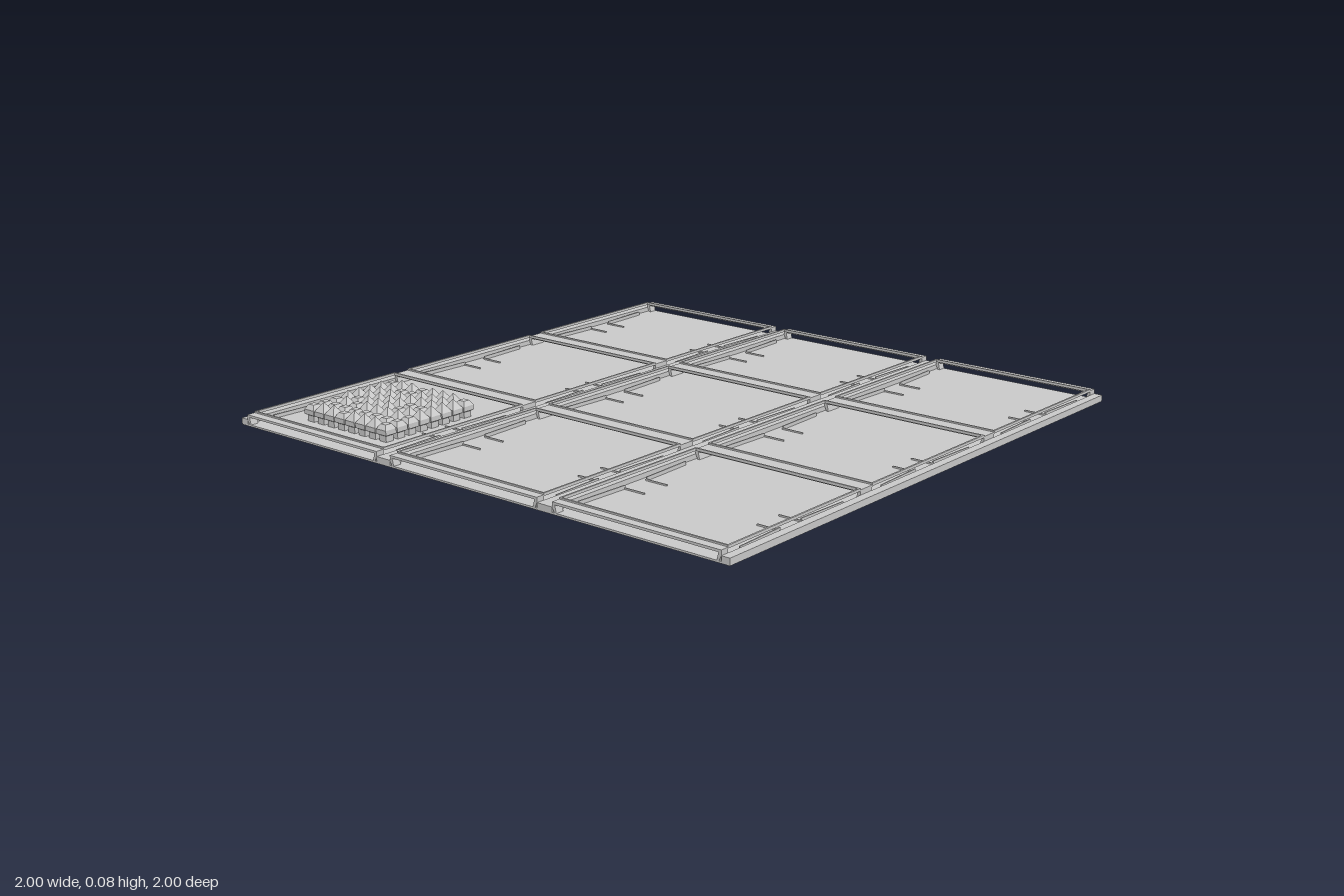
import * as THREE from 'three';

const grey = new THREE.MeshStandardMaterial({ color: 0xcccccc, flatShading: true });
const CELLS = [-0.667, 0, 0.667];                       // cell centres on both axes
const HALF = 0.304;                                     // half the size of a cell
const STRIPS = [[-1, -0.971], [-0.363, -0.304], [0.304, 0.363], [0.971, 1]];

function add(parent, name, geometry, x = 0, y = 0, z = 0) {
  const mesh = new THREE.Mesh(geometry, grey);
  mesh.name = name;
  mesh.position.set(x, y, z);
  parent.add(mesh);
  return mesh;
}

// box given by its lower and upper limits
function block(parent, name, x0, x1, y0, y1, z0, z1) {
  return add(parent, name, new THREE.BoxGeometry(x1 - x0, y1 - y0, z1 - z0),
    (x0 + x1) / 2, (y0 + y1) / 2, (z0 + z1) / 2);
}

// low bridge across one cell: a thin deck on two sloping feet
function bridgeGeometry(depth) {
  const h = HALF;
  const shape = new THREE.Shape([
    [-h, 0.022], [-h + 0.008, 0.005], [-h + 0.016, 0.005], [-h + 0.01, 0.03],
    [h - 0.01, 0.03], [h - 0.016, 0.005], [h - 0.008, 0.005], [h, 0.022],
    [h, 0.038], [-h, 0.038],
  ].map(([x, y]) => new THREE.Vector2(x, y)));
  return new THREE.ExtrudeGeometry(shape, { depth, bevelEnabled: false });
}

// thin square frame that outlines a cell
function rimGeometry() {
  const square = (r, target) => target.moveTo(-r, -r).lineTo(r, -r).lineTo(r, r).lineTo(-r, r).closePath();
  const shape = square(HALF, new THREE.Shape());
  shape.holes.push(square(HALF - 0.006, new THREE.Path()));
  return new THREE.ExtrudeGeometry(shape, { depth: 0.009, bevelEnabled: false }).rotateX(-Math.PI / 2);
}

// four-sided stud: stem, flared body and a pointed or blunt cap
function studGeometry(peak, topHalf) {
  const profile = [[0, 0.005], [0.015, 0.005], [0.015, 0.026], [0.022, 0.03],
    [0.022, 0.046], [topHalf, peak], [0, peak]];
  const points = profile.map(([r, y]) => new THREE.Vector2(r * Math.SQRT2, y));
  return new THREE.LatheGeometry(points, 4, Math.PI / 4);
}

export function createModel() {
  const model = new THREE.Group();
  model.name = 'gridBoard';

  block(model, 'basePlate', -1, 1, 0, 0.006, -1, 1);

  // low bars running front to back
  for (const [x0, x1] of STRIPS) block(model, 'lowBar', x0, x1, 0.004, 0.022, -1, 1);

  // raised cross rails between the low bars
  for (const [z0, z1] of STRIPS) {
    const geometry = bridgeGeometry(z1 - z0);
    for (const x of CELLS) add(model, 'crossRail', geometry, x, 0, z0);
  }

  // rim and side clips of every cell
  const rim = rimGeometry();
  for (const x of CELLS) for (const z of CELLS) {
    const cell = new THREE.Group();
    cell.name = 'cell';
    cell.position.set(x, 0, z);
    model.add(cell);
    add(cell, 'cellRim', rim, 0, 0.034, 0);
    for (const sx of [-1, 1]) for (const sz of [-1, 1]) {
      const clip = new THREE.BoxGeometry(0.08, 0.005, 0.004);
      add(cell, 'clipTab', clip, sx * 0.245, 0.0085, sz * 0.05);
      const spring = new THREE.BoxGeometry(0.004, 0.012, 0.19);
      add(cell, 'clipSpring', spring, sx * 0.286, 0.012, sz * 0.143).rotation.y = sx * sz * 0.04;
    }
  }

  // 8 by 8 field of studs in the front right cell
  const field = new THREE.Group();
  field.name = 'studField';
  field.position.set(-0.667, 0, 0.667);
  model.add(field);
  const pointed = studGeometry(0.076, 0.001);
  const blunt = studGeometry(0.062, 0.012);
  for (let i = 0; i < 8; i++) for (let j = 0; j < 8; j++) {
    const isBlunt = j === 6 || (i * 5 + j * 3 + i * j) % 7 < 2;
    add(field, 'stud', isBlunt ? blunt : pointed, (i - 3.5) * 0.0485, 0, (j - 3.5) * 0.0485);
  }
  return model;
}
